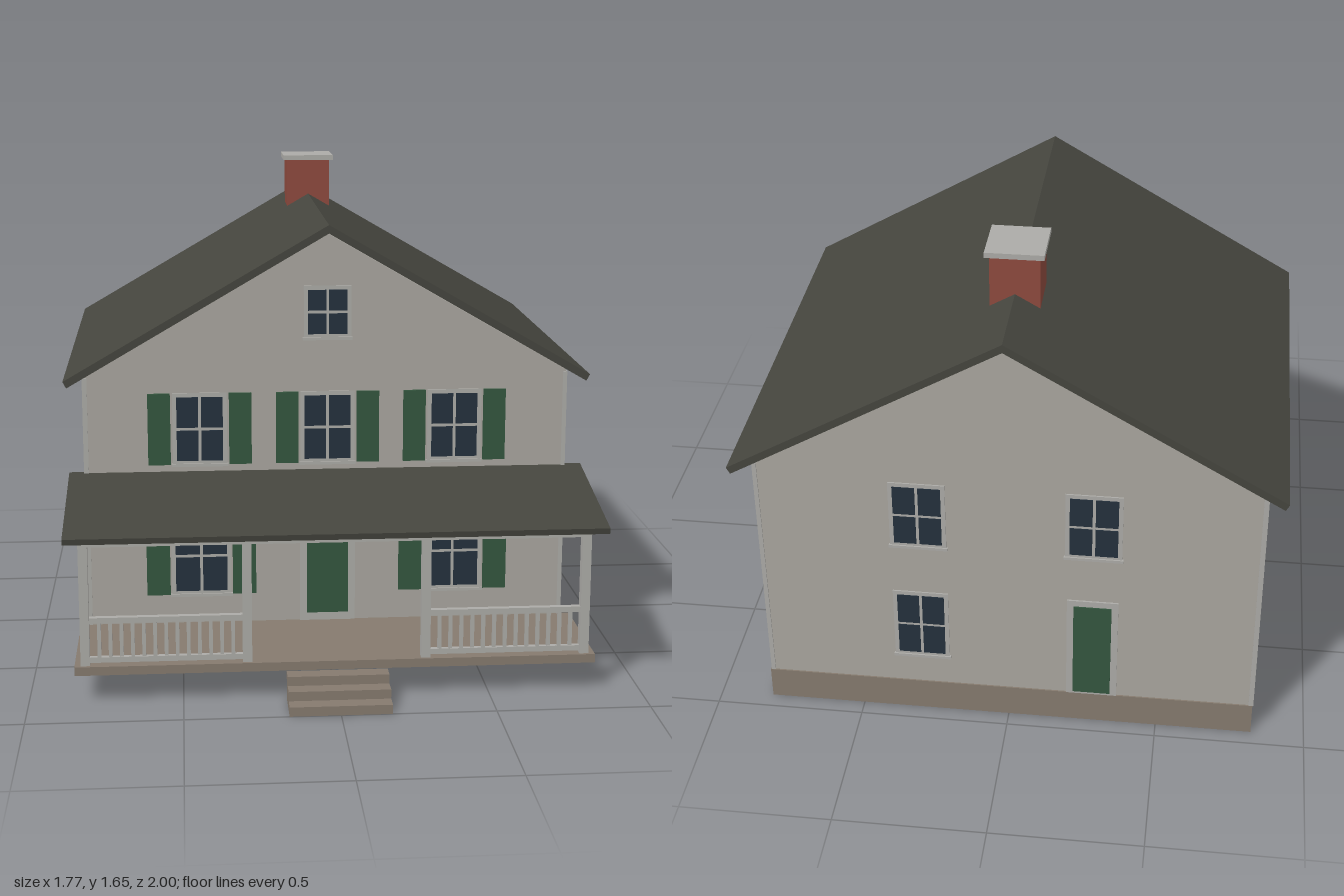
import * as THREE from 'three';

const material = (name, color) => {
  const m = new THREE.MeshStandardMaterial({ color });
  m.name = name;
  return m;
};

export function createModel() {
  const siding = material('siding', 0xa9a69f);
  const trim = material('trim', 0xacaba7);
  const roofing = material('roofing', 0x45453e);
  const brick = material('brick', 0x8e4a3e);
  const stone = material('stone', 0x857a6e);
  const green = material('green paint', 0x34563f);
  const glass = material('glass', 0x24313d);

  const house = new THREE.Group();
  house.name = 'house';

  const add = (parent, name, geometry, mat) => {
    const mesh = new THREE.Mesh(geometry, mat);
    mesh.name = name;
    parent.add(mesh);
    return mesh;
  };
  // Box given by its low and high limits on each axis
  const box = (parent, name, mat, [x0, x1], [y0, y1], [z0, z1]) => {
    const mesh = add(parent, name, new THREE.BoxGeometry(x1 - x0, y1 - y0, z1 - z0), mat);
    mesh.position.set((x0 + x1) / 2, (y0 + y1) / 2, (z0 + z1) / 2);
    return mesh;
  };
  // Outline in x and y, extruded from z0 to z1
  const prism = (name, mat, points, z0, z1) => {
    const shape = new THREE.Shape(points.map(([x, y]) => new THREE.Vector2(x, y)));
    const geometry = new THREE.ExtrudeGeometry(shape, { depth: z1 - z0, bevelEnabled: false });
    return add(house, name, geometry.translate(0, 0, z0), mat);
  };

  // Main body
  const W = 0.815, FRONT = 0.425, BACK = -0.94;
  box(house, 'foundation', stone, [-0.822, 0.822], [0, 0.115], [-0.945, 0.43]);
  prism('walls', siding,
    [[-W, 0.11], [W, 0.11], [W, 0.995], [0, 1.468], [-W, 0.995]], BACK, FRONT);
  for (const x of [-W, W]) {
    for (const z of [FRONT, BACK]) {
      box(house, 'cornerBoard', trim, [x - 0.01, x + 0.004 * Math.sign(x) + (x < 0 ? 0.01 : 0)].sort((a, b) => a - b),
        [0.115, 0.99], z > 0 ? [z - 0.014, z + 0.004] : [z - 0.004, z + 0.014]);
    }
  }

  // Roof and chimney
  prism('roof', roofing,
    [[0, 1.503], [-0.885, 0.99], [-0.873, 0.968], [0, 1.475], [0.873, 0.968], [0.885, 0.99]], -1, 0.485);
  box(house, 'chimney', brick, [-0.08, 0.08], [1.4, 1.632], [-0.692, -0.53]);
  box(house, 'chimneyCap', trim, [-0.094, 0.094], [1.632, 1.65], [-0.705, -0.517]);

  // A group lying on a wall, with its local z pointing out of the wall
  const onWall = (name, side, along, y) => {
    const group = new THREE.Group();
    group.name = name;
    if (side === 'front') group.position.set(along, y, FRONT);
    if (side === 'back') group.position.set(along, y, BACK);
    if (side === 'left') group.position.set(W, y, along);
    if (side === 'right') group.position.set(-W, y, along);
    group.rotation.y = { front: 0, back: Math.PI, left: Math.PI / 2, right: -Math.PI / 2 }[side];
    house.add(group);
    return group;
  };

  // Window with frame, four panes, sill and optional shutters
  const addWindow = (side, along, y, w, h, shutter) => {
    const g = onWall('window', side, along, y);
    const a = w / 2, b = h / 2, f = 0.014, m = 0.005;
    box(g, 'windowFrame', trim, [-a - f, a + f], [-b - f, b + f], [-0.005, 0.005]);
    for (const sx of [-1, 1]) {
      for (const sy of [-1, 1]) {
        const px = sx < 0 ? [-a, -m] : [m, a];
        const py = sy < 0 ? [-b, -m] : [m, b];
        box(g, 'windowPane', glass, px, py, [0.004, 0.007]);
      }
      if (shutter) {
        const c = sx * shutter.offset, s = shutter.width / 2, t = shutter.height / 2;
        box(g, 'shutter', green, [c - s, c + s], [-t, t], [-0.002, 0.009]);
      }
    }
    box(g, 'windowSill', trim, [-a - f - 0.004, a + f + 0.004], [-b - f - 0.006, -b - f + 0.004], [-0.005, 0.01]);
  };

  const UPPER = 0.81, LOWER = 0.364;
  for (const x of [-0.433, 0, 0.433]) {
    addWindow('front', x, UPPER, 0.156, 0.22, { offset: 0.137, width: 0.076, height: 0.246 });
  }
  for (const x of [-0.433, 0.433]) {
    addWindow('front', x, LOWER, 0.176, 0.25, { offset: 0.147, width: 0.08, height: 0.275 });
  }
  addWindow('front', 0, 1.205, 0.132, 0.15);
  for (const side of ['left', 'right']) {
    for (const z of [0.073, -0.58]) {
      addWindow(side, z, UPPER, 0.16, 0.22);
      addWindow(side, z, LOWER, 0.16, 0.24);
    }
  }
  addWindow('back', 0.29, UPPER, 0.156, 0.22);
  addWindow('back', -0.28, UPPER, 0.156, 0.22);
  addWindow('back', 0.29, LOWER, 0.156, 0.24);

  // Doors with frames
  const addDoor = (side, x, w, bottom, top, frame) => {
    const g = onWall('door', side, x, 0);
    box(g, 'doorFrame', trim, [-w / 2 - frame, w / 2 + frame], [0.115, top + frame], [-0.005, 0.006]);
    box(g, 'doorPanel', green, [-w / 2, w / 2], [bottom, top], [0, 0.01]);
  };
  addDoor('front', 0, 0.142, 0.152, 0.494, 0.024);
  addDoor('back', -0.28, 0.125, 0.125, 0.488, 0.022);

  // Porch floor, steps and sloping roof
  box(house, 'porchFloor', stone, [-0.85, 0.85], [0.095, 0.124], [0.42, 0.84]);
  for (let i = 0; i < 3; i++) {
    box(house, 'step', stone, [-0.165, 0.165], [i * 0.031, (i + 1) * 0.031], [0.84, 1 - i * 0.053]);
  }
  const porchRoof = add(house, 'porchRoof', new THREE.BoxGeometry(1.75, 0.02, 0.485), roofing);
  porchRoof.position.set(0, 0.606, 0.652);
  porchRoof.rotation.x = 0.2;

  // Porch posts, beam and railings
  for (const x of [-0.815, -0.291, 0.291, 0.815]) {
    box(house, 'porchPost', trim, [x - 0.015, x + 0.015], [0.12, 0.53], [0.8, 0.83]);
  }
  box(house, 'porchBeam', trim, [-0.83, 0.83], [0.522, 0.562], [0.8, 0.83]);
  for (const side of [-1, 1]) {
    const railing = new THREE.Group();
    railing.name = 'railing';
    railing.position.set(side * 0.553, 0, 0.815);
    house.add(railing);
    box(railing, 'topRail', trim, [-0.25, 0.25], [0.266, 0.284], [-0.01, 0.01]);
    box(railing, 'bottomRail', trim, [-0.25, 0.25], [0.132, 0.15], [-0.008, 0.008]);
    for (let i = 0; i < 13; i++) {
      const x = (i - 6) * 0.036;
      box(railing, 'baluster', trim, [x - 0.006, x + 0.006], [0.145, 0.27], [-0.006, 0.006]);
    }
  }

  return house;
}
